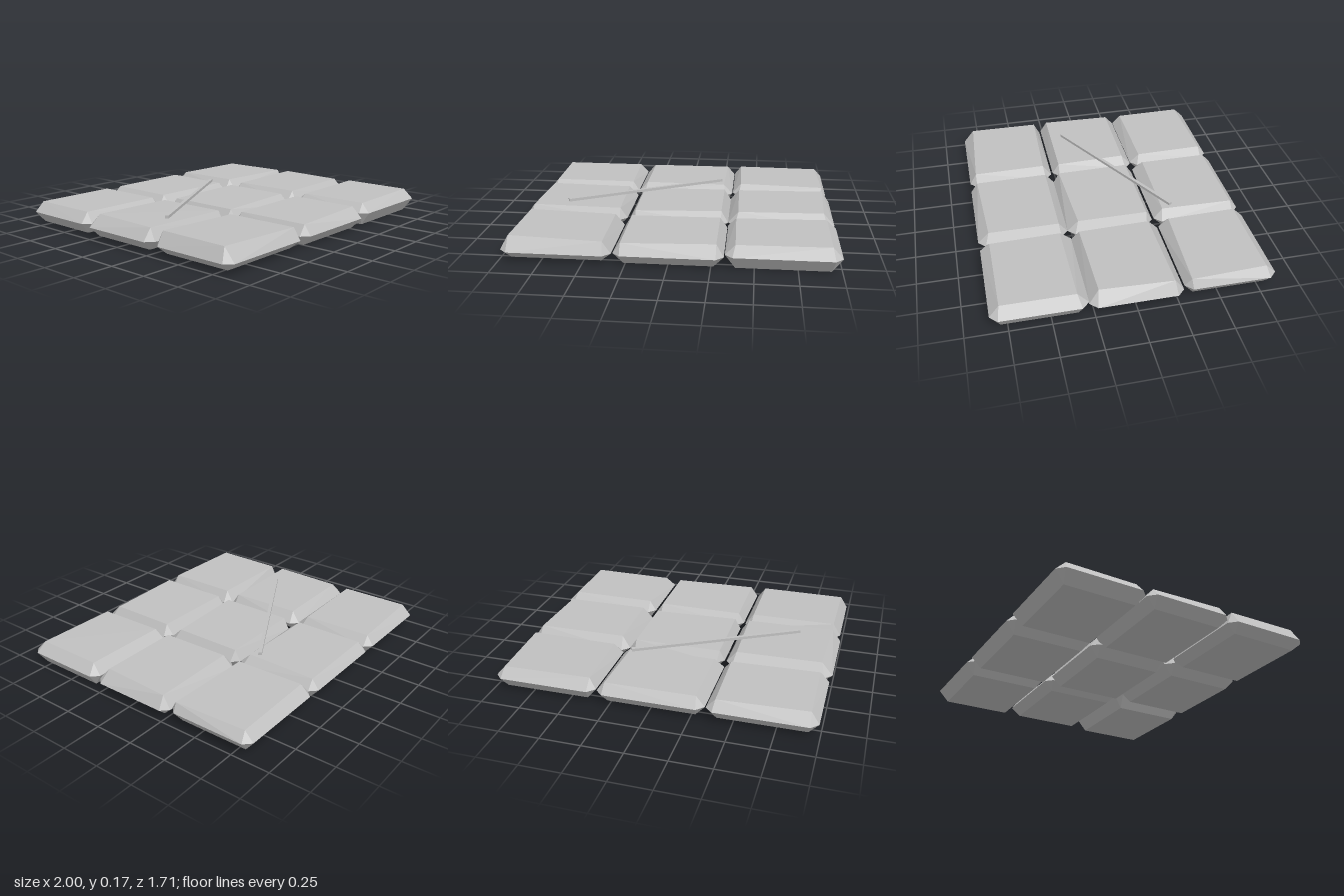
import * as THREE from 'three';
import { ConvexGeometry } from 'three/addons/geometries/ConvexGeometry.js';

const stoneGrey = new THREE.MeshStandardMaterial({ color: 0xc0c0c0 });

// Each slab: outer bounds [x0, x1, z0, z1], top corners (back left to front left, clockwise
// seen from above), top height on the -x and +x edges, waist height, bottom height
const slabs = [
  { o: [-0.99, -0.34, -0.855, -0.29], t: [[-0.94, -0.79], [-0.395, -0.805], [-0.385, -0.355], [-0.935, -0.345]], y: [0.145, 0.14], w: 0.08, b: 0.01 },
  { o: [-0.335, 0.33, -0.855, -0.285], t: [[-0.28, -0.8], [0.28, -0.805], [0.27, -0.345], [-0.28, -0.355]], y: [0.14, 0.14], w: 0.08, b: 0.01 },
  { o: [0.335, 0.985, -0.855, -0.29], t: [[0.38, -0.79], [0.935, -0.795], [0.955, -0.33], [0.39, -0.35]], y: [0.148, 0.142], w: 0.085, b: 0.01 },
  { o: [-1, -0.33, -0.29, 0.275], t: [[-0.93, -0.23], [-0.39, -0.23], [-0.375, 0.23], [-0.945, 0.23]], y: [0.15, 0.143], w: 0.075, b: 0.015 },
  { o: [-0.315, 0.325, -0.275, 0.285], t: [[-0.28, -0.23], [0.28, -0.235], [0.28, 0.215], [-0.275, 0.245]], y: [0.135, 0.138], w: 0.07, b: 0.005 },
  { o: [0.325, 1, -0.285, 0.28], t: [[0.38, -0.22], [0.95, -0.23], [0.93, 0.22], [0.39, 0.23]], y: [0.142, 0.146], w: 0.07, b: 0.015 },
  { o: [-0.99, -0.33, 0.285, 0.855], t: [[-0.94, 0.325], [-0.385, 0.34], [-0.38, 0.81], [-0.945, 0.785]], y: [0.148, 0.139], w: 0.065, b: 0.015 },
  { o: [-0.32, 0.325, 0.285, 0.855], t: [[-0.28, 0.34], [0.28, 0.34], [0.28, 0.785], [-0.275, 0.81]], y: [0.135, 0.139], w: 0.07, b: 0.005 },
  { o: [0.33, 1, 0.28, 0.85], t: [[0.38, 0.35], [0.94, 0.345], [0.94, 0.79], [0.39, 0.79]], y: [0.142, 0.148], w: 0.085, b: 0 },
];

// Hull of a top face, a wide waist with clipped corners, and an inset bottom face
function slabGeometry({ o: [x0, x1, z0, z1], t, y, w, b }) {
  const points = [];
  const clip = 0.045, inset = 0.06;
  t.forEach(([x, z], i) => points.push(new THREE.Vector3(x, i === 1 || i === 2 ? y[1] : y[0], z)));
  for (const [x, sx] of [[x0, 1], [x1, -1]]) {
    for (const [z, sz] of [[z0, 1], [z1, -1]]) {
      points.push(
        new THREE.Vector3(x + sx * clip, w, z),
        new THREE.Vector3(x, w, z + sz * clip),
        new THREE.Vector3(x + sx * inset, b, z + sz * inset),
      );
    }
  }
  return new ConvexGeometry(points);
}

export function createModel() {
  const model = new THREE.Group();
  model.name = 'pavingSlabs';

  // Three by three field of worn slabs
  slabs.forEach((slab, i) => {
    const mesh = new THREE.Mesh(slabGeometry(slab), stoneGrey);
    mesh.name = `slab${i + 1}`;
    model.add(mesh);
  });

  // Thin straight strip lying diagonally across the slabs
  const start = new THREE.Vector2(-0.735, 0.145), end = new THREE.Vector2(0.25, -0.405);
  const run = end.clone().sub(start);
  const strip = new THREE.Mesh(new THREE.BoxGeometry(run.length(), 0.018, 0.022), stoneGrey);
  strip.name = 'diagonalStrip';
  strip.position.set((start.x + end.x) / 2, 0.156, (start.y + end.y) / 2);
  strip.rotation.y = -Math.atan2(run.y, run.x);
  model.add(strip);

  return model;
}
